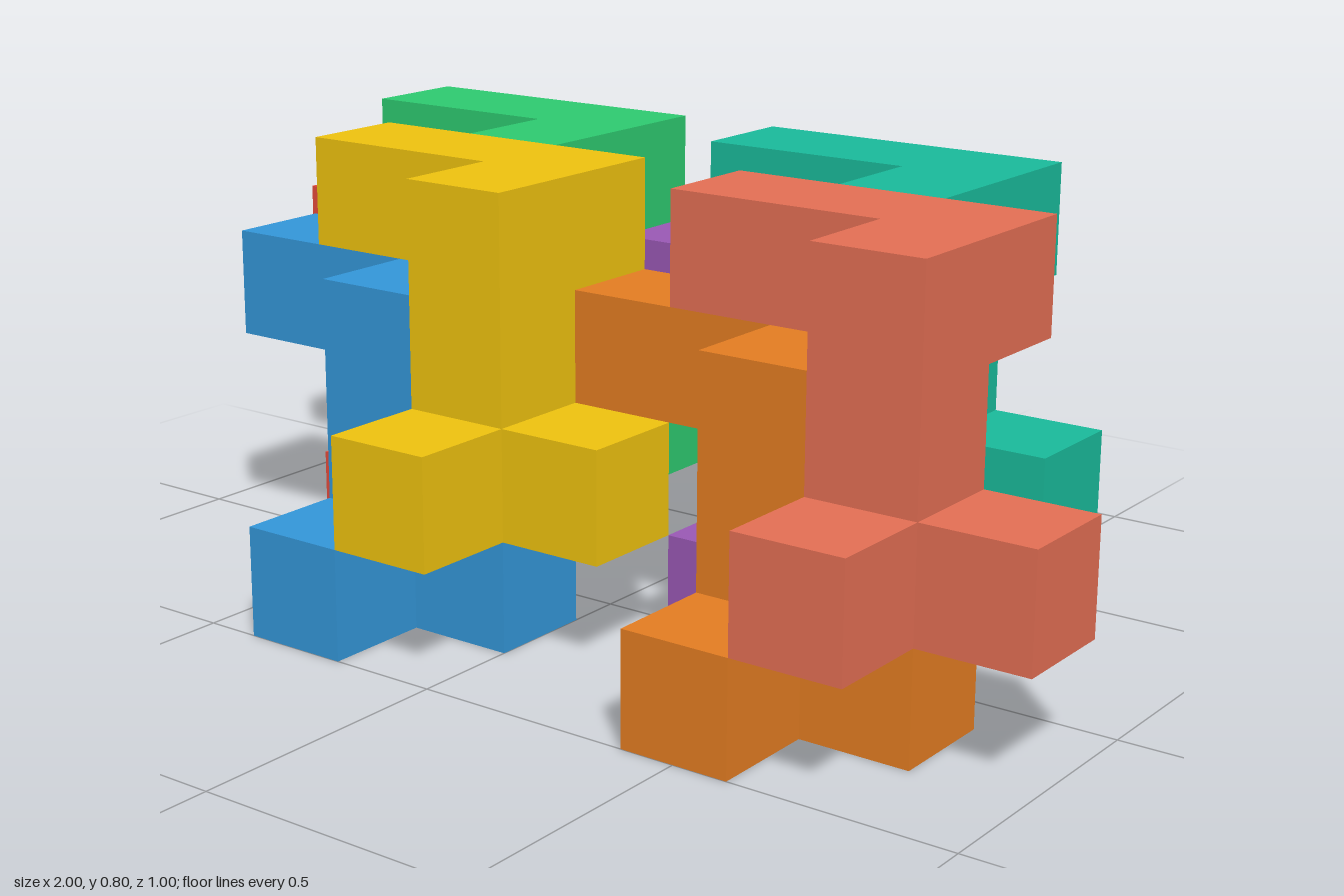
import * as THREE from 'three';
import { mergeGeometries } from 'three/addons/utils/BufferGeometryUtils.js';

const S = 0.2; // edge of one cube cell

// One puzzle piece as cells [x, y, z]: arm, elbow, column, two toes
const CELLS = [
  [0, 2, 0], [1, 2, 0], [2, 2, 0],
  [2, 2, 1], [2, 1, 1], [2, 0, 1],
  [2, 0, 2], [3, 0, 1],
];

// Outer skin of the piece: one square per cell side without a neighbour
function pieceGeometry() {
  const filled = new Set(CELLS.map(String));
  const front = new THREE.Vector3(0, 0, 1);
  const squares = [];
  for (const cell of CELLS) {
    for (let axis = 0; axis < 3; axis++) {
      for (const sign of [-1, 1]) {
        const dir = [0, 0, 0];
        dir[axis] = sign;
        if (filled.has(String(cell.map((c, i) => c + dir[i])))) continue;
        const normal = new THREE.Vector3(...dir);
        const turn = new THREE.Quaternion().setFromUnitVectors(front, normal);
        const centre = cell.map((c, i) => (c + 0.5 + dir[i] / 2) * S);
        squares.push(new THREE.PlaneGeometry(S, S).applyQuaternion(turn).translate(...centre));
      }
    }
  }
  return mergeGeometries(squares);
}

// Name, colour and cell offset of each identical, interlocking piece
const PIECES = [
  ['salmonPiece', 0xe67055, [6, 1, 2]],
  ['orangePiece', 0xe67e22, [5, 0, 2]],
  ['yellowPiece', 0xf1c40f, [2, 1, 2]],
  ['bluePiece', 0x3498db, [1, 0, 2]],
  ['tealPiece', 0x1abc9c, [5, 1, 0]],
  ['purplePiece', 0x9b59b6, [4, 0, 0]],
  ['greenPiece', 0x2ecc71, [1, 1, 0]],
  ['redPiece', 0xe74c3c, [0, 0, 0]],
];

export function createModel() {
  const model = new THREE.Group();
  model.name = 'interlockingPieces';
  const geometry = pieceGeometry();
  for (const [name, color, [x, y, z]] of PIECES) {
    const piece = new THREE.Mesh(geometry, new THREE.MeshStandardMaterial({ color }));
    piece.name = name;
    piece.position.set(x * S - 1, y * S, z * S - 0.5);
    model.add(piece);
  }
  return model;
}
